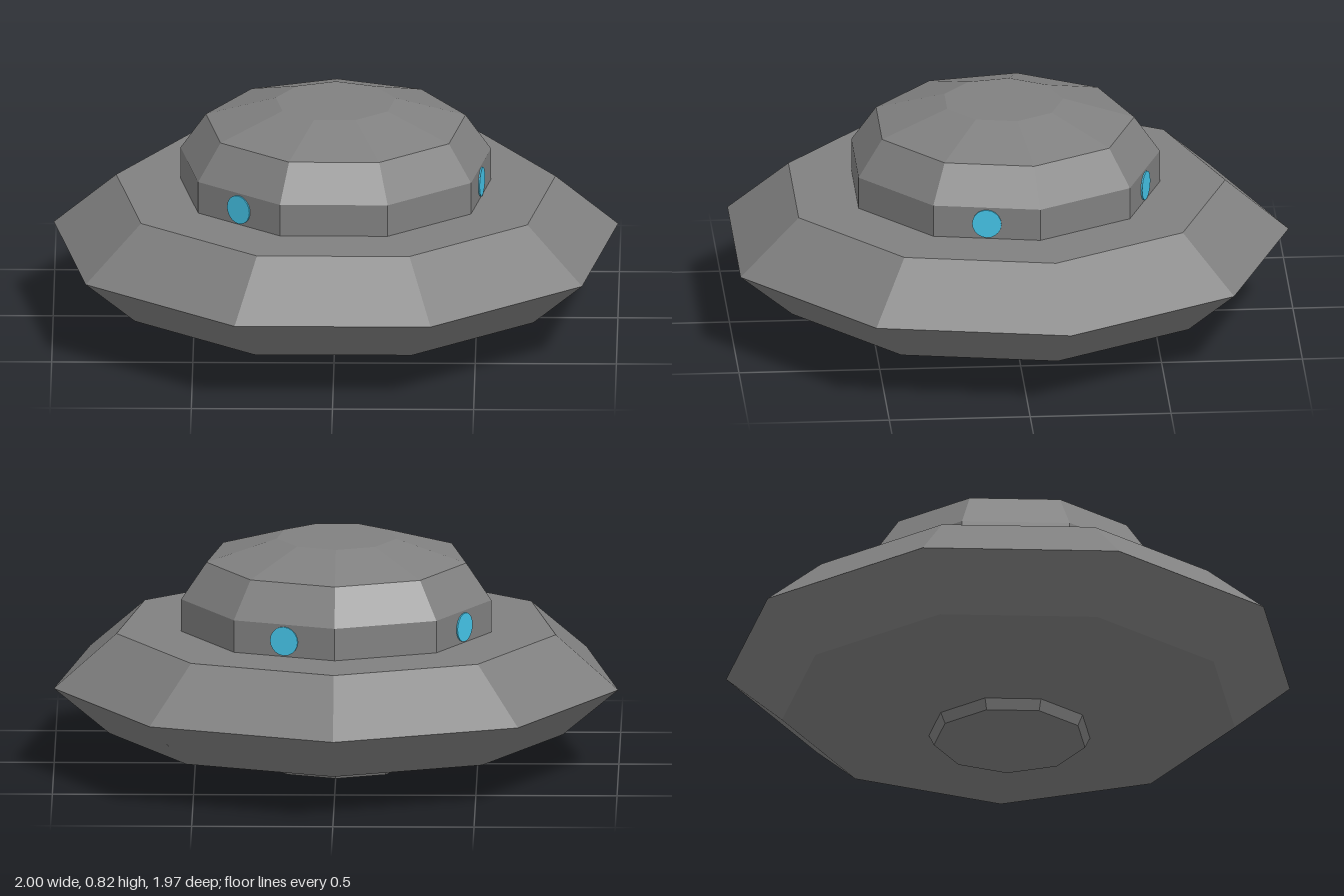
import * as THREE from 'three';

const SIDES = 9;
const CENTER_Z = 0.03; // a nine-sided ring is deeper towards its point, so its axis sits off centre
const DOME_RADIUS = 0.558;

const grey = new THREE.MeshStandardMaterial({ color: 0x808080, flatShading: true });
const blue = new THREE.MeshStandardMaterial({ color: 0x45c4e8 });

// Nine-sided turned body with one corner pointing to the back; profile runs bottom to top
function turned(name, profile) {
  const points = profile.map(([r, y]) => new THREE.Vector2(r, y));
  const mesh = new THREE.Mesh(new THREE.LatheGeometry(points, SIDES, Math.PI), grey);
  mesh.name = name;
  return mesh;
}

export function createModel() {
  const saucer = new THREE.Group();
  saucer.name = 'flyingSaucer';
  saucer.position.z = CENTER_Z;

  // Wide hull with a sharp rim
  saucer.add(turned('hull', [[0, 0.038], [0.29, 0.038], [0.815, 0.132], [1.015, 0.303], [0.79, 0.494], [0, 0.494]]));

  // Cabin with upright walls and a faceted roof
  saucer.add(turned('cabinDome', [
    [DOME_RADIUS, 0.494], [DOME_RADIUS, 0.61], [0.467, 0.741], [0.215, 0.818], [0, 0.818],
  ]));

  // Small foot under the hull
  saucer.add(turned('base', [[0, 0], [0.272, 0], [0.29, 0.038]]));

  // Round portholes, almost flush, in the middle of four of the cabin walls
  const wallDistance = DOME_RADIUS * Math.cos(Math.PI / SIDES);
  const disc = new THREE.CylinderGeometry(0.052, 0.052, 0.01, 20).rotateX(Math.PI / 2);
  for (const degrees of [-120, -40, 80, 160]) {
    const angle = THREE.MathUtils.degToRad(degrees);
    const porthole = new THREE.Mesh(disc, blue);
    porthole.name = 'porthole';
    porthole.position.set(wallDistance * Math.sin(angle), 0.55, wallDistance * Math.cos(angle));
    porthole.rotation.y = angle;
    saucer.add(porthole);
  }

  const model = new THREE.Group();
  model.name = 'model';
  model.add(saucer);
  return model;
}
